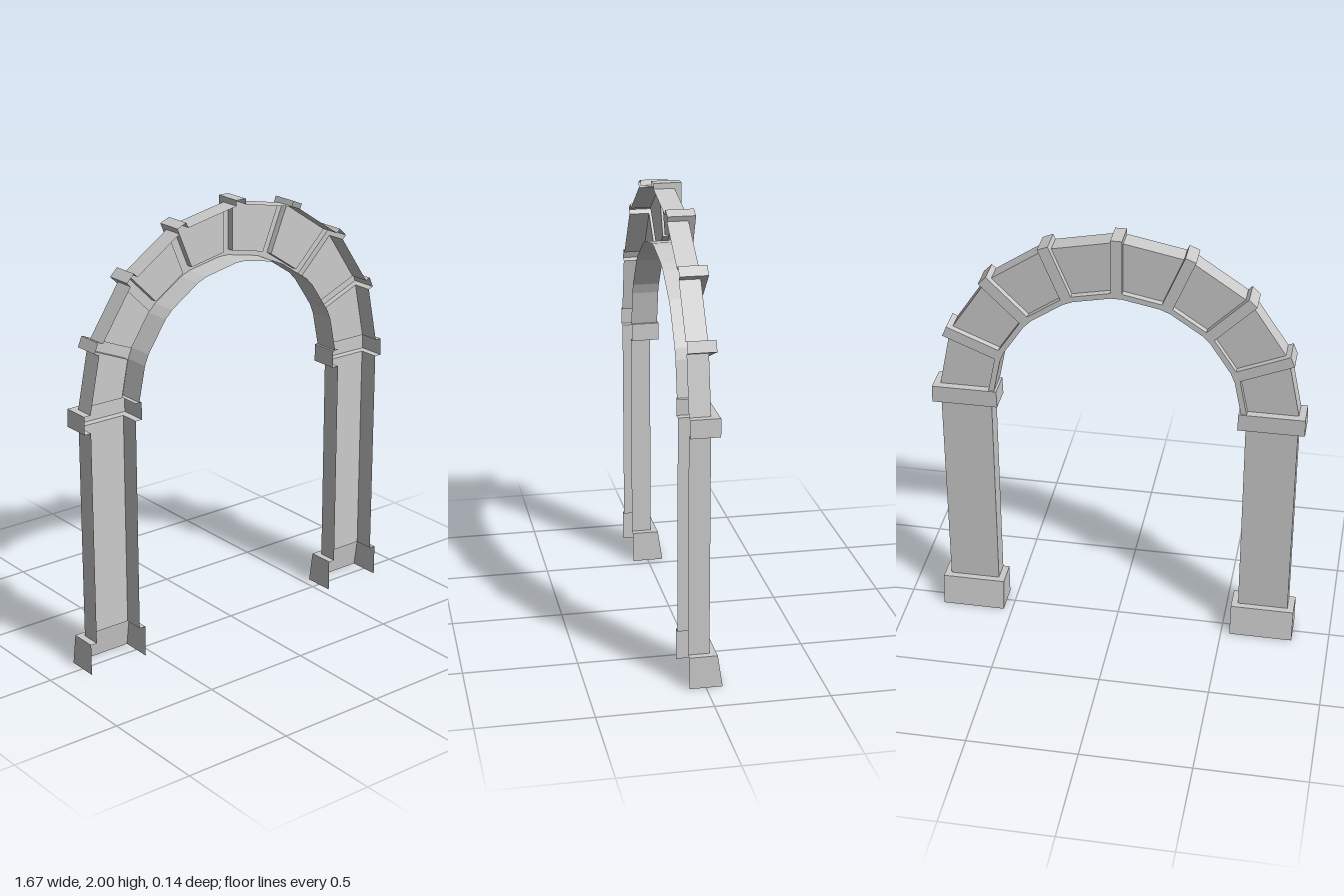
import * as THREE from 'three';

const FRONT = 0.072, PANEL = -0.02, RAISED = -0.05; // depths in z
const SPRING = 1.205, CENTRE = 1.175, HALF_RIB = 0.025;
const INNER = 0.55, TRIM = 0.575, OUTER = 0.8, TIP = 0.825; // arch radii
const SEGMENTS = 8;

const material = new THREE.MeshStandardMaterial({ color: 0xcccccc, flatShading: true, side: THREE.DoubleSide });

// Skin of quads between consecutive rows of points
function sheet(name, ...rows) {
  const pos = [];
  for (let j = 0; j < rows.length - 1; j++) {
    for (let i = 0; i < rows[j].length - 1; i++) {
      const a = rows[j][i], b = rows[j][i + 1], c = rows[j + 1][i + 1], d = rows[j + 1][i];
      pos.push(...a, ...b, ...c, ...a, ...c, ...d);
    }
  }
  const geometry = new THREE.BufferGeometry();
  geometry.setAttribute('position', new THREE.Float32BufferAttribute(pos, 3));
  geometry.computeVertexNormals();
  const mesh = new THREE.Mesh(geometry, material);
  mesh.name = name;
  return mesh;
}

// Point beside rib k (side -1 or 1) at radius r; the end ribs sit on the capitals
function archPoint(k, side, r, z) {
  if (k === 0) return [r, SPRING, z];
  if (k === SEGMENTS) return [-r, SPRING, z];
  const t = (k * Math.PI) / SEGMENTS, s = side * HALF_RIB;
  return [Math.cos(t) * r - Math.sin(t) * s, CENTRE + Math.sin(t) * r + Math.cos(t) * s, z];
}

const section = (k, side, profile) => profile.map(([r, z]) => archPoint(k, side, r, z));

// Pier half shell, open to the front: U-shaped sections [half width, back z, y]
function pier(x, name) {
  const group = new THREE.Group();
  group.name = name;
  const u = ([w, z, y]) => [[x + w, y, FRONT], [x + w, y, z], [x - w, y, z], [x - w, y, FRONT]];
  const parts = {
    base: [[0.145, -0.072, 0], [0.145, -0.05, 0.145], [0.115, PANEL, 0.145]],
    shaft: [[0.115, PANEL, 0.145], [0.115, PANEL, 1.125]],
    capital: [[0.115, PANEL, 1.125], [0.148, -0.055, 1.125], [0.146, -0.055, SPRING], [0.115, PANEL, SPRING]],
  };
  for (const [part, stations] of Object.entries(parts)) group.add(sheet(part, ...stations.map(u)));
  return group;
}

function arch() {
  const group = new THREE.Group();
  group.name = 'arch';
  // Recessed stones with soffit and raised inner trim
  const stone = [[INNER, FRONT], [INNER, RAISED], [TRIM, RAISED], [TRIM, PANEL], [OUTER, PANEL], [OUTER, FRONT]];
  for (let k = 0; k < SEGMENTS; k++) {
    group.add(sheet('archStone', section(k + 1, -1, stone), section(k, 1, stone)));
  }
  // Raised ribs between the stones
  const band = [[INNER, FRONT], [INNER, RAISED], [TIP, RAISED], [TIP, FRONT]];
  for (let k = 1; k < SEGMENTS; k++) {
    const rib = new THREE.Group();
    rib.name = 'rib';
    rib.add(sheet('ribBand', section(k, 1, band), section(k, -1, band)));
    for (const side of [-1, 1]) {
      const cheek = (r0, r1, z) => {
        const rows = [RAISED, z].map((d) => section(k, side, [[r0, d], [r1, d]]));
        return sheet('ribCheek', ...(side > 0 ? rows.reverse() : rows));
      };
      rib.add(cheek(TRIM, OUTER, PANEL), cheek(OUTER, TIP, FRONT));
    }
    group.add(rib);
  }
  return group;
}

export function createModel() {
  const model = new THREE.Group();
  model.name = 'archway';
  model.add(pier(0.685, 'leftPier'), pier(-0.685, 'rightPier'), arch());
  return model;
}
